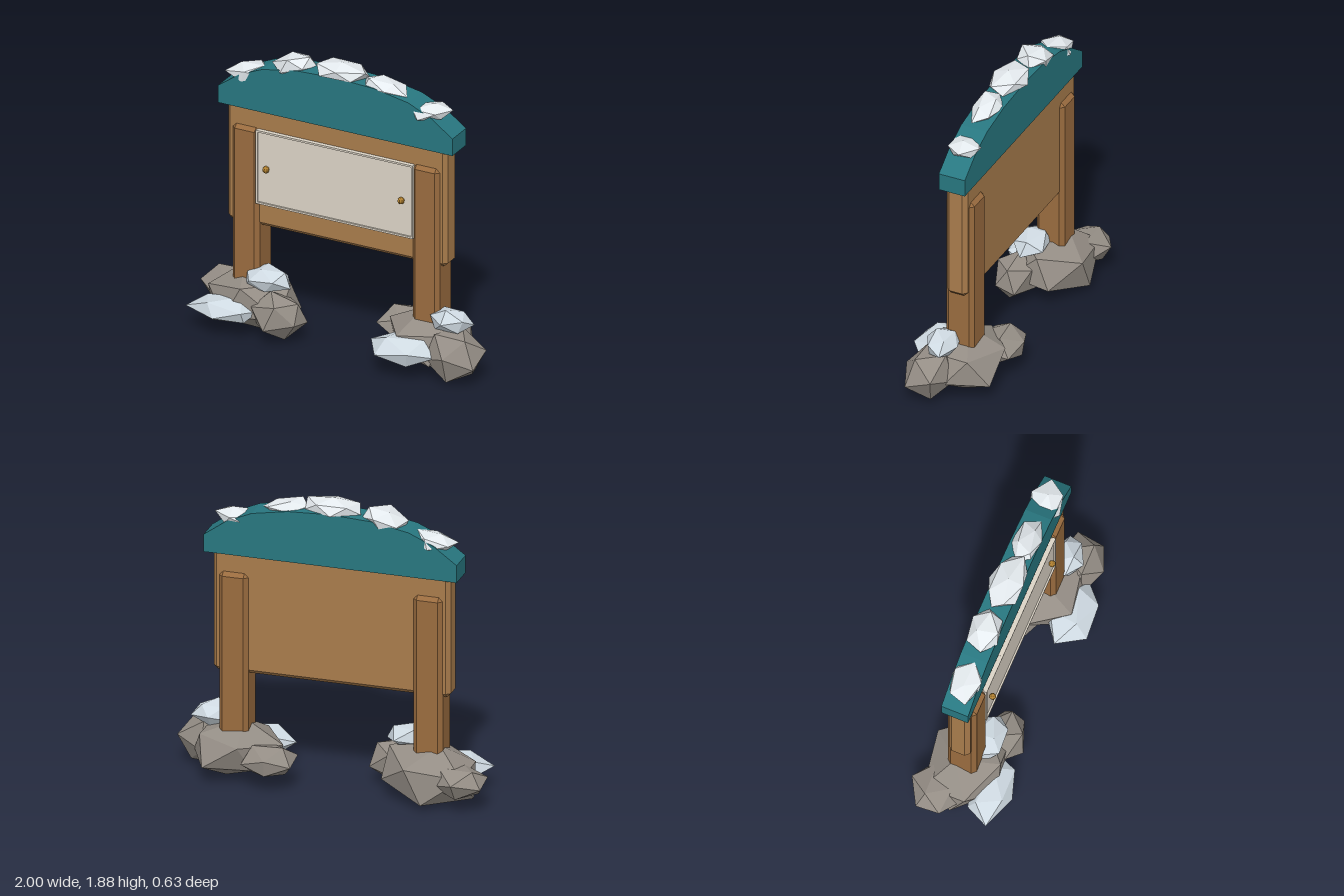
import * as THREE from 'three';
import { ConvexGeometry } from 'three/addons/geometries/ConvexGeometry.js';

const mat = (color) => new THREE.MeshStandardMaterial({ color, flatShading: true });
const M = {
  board: mat(0xa97c4c), post: mat(0x9a6c3f), roof: mat(0x287780), sign: mat(0xdcd4c6),
  knob: mat(0xb08030), stone: mat(0x948d85), pale: mat(0xcfdae2), snow: mat(0xe4eaee),
};

function rng(seed) {
  let s = seed * 7919 + 17;
  return () => ((s = (s * 16807) % 2147483647) / 2147483647);
}

function add(parent, name, geometry, material) {
  const mesh = new THREE.Mesh(geometry, material);
  mesh.name = name;
  parent.add(mesh);
  return mesh;
}

// Box with every edge chamfered by b, given by its min and max corners
function chamferBox([x0, y0, z0], [x1, y1, z1], b) {
  const pts = [];
  for (const x of [0, 1]) for (const y of [0, 1]) for (const z of [0, 1]) {
    const p = [x ? x1 : x0, y ? y1 : y0, z ? z1 : z0];
    const inward = [x ? -b : b, y ? -b : b, z ? -b : b];
    for (let keep = 0; keep < 3; keep++) {
      pts.push(new THREE.Vector3(...p.map((v, i) => (i === keep ? v : v + inward[i]))));
    }
  }
  return new ConvexGeometry(pts);
}

// Jittered icosahedron hull, sheared upwards along x, then fitted to a box
function rock(min, max, seed, shear = 0) {
  const rand = rng(seed);
  rand();
  const t = (1 + Math.sqrt(5)) / 2;
  const turn = new THREE.Euler(rand() * 6, rand() * 6, rand() * 6);
  const pts = [];
  for (const a of [-1, 1]) for (const b of [-t, t]) {
    for (const c of [[0, a, b], [a, b, 0], [b, 0, a]]) {
      const p = new THREE.Vector3(...c).applyEuler(turn).multiplyScalar(0.88 + rand() * 0.24);
      p.y += shear * p.x;
      pts.push(p);
    }
  }
  const box = new THREE.Box3().setFromPoints(pts);
  const size = box.getSize(new THREE.Vector3());
  const lo = new THREE.Vector3(...min);
  const span = new THREE.Vector3(...max).sub(lo);
  pts.forEach((p) => p.sub(box.min).divide(size).multiply(span).add(lo));
  return new ConvexGeometry(pts);
}

export function createModel() {
  const model = new THREE.Group();
  model.name = 'noticeBoard';

  // Backing board and the two posts
  add(model, 'backBoard', chamferBox([-0.77, 0.695, -0.112], [0.738, 1.5, 0.028], 0.026), M.board);
  for (const [name, x] of [['rightPost', -0.633], ['leftPost', 0.603]]) {
    add(model, name, chamferBox([x - 0.093, 0.12, -0.137], [x + 0.093, 1.35, 0.052], 0.026), M.post);
  }

  // Notice panel with a slightly raised rim
  const panel = new THREE.Group();
  panel.name = 'noticePanel';
  model.add(panel);
  add(panel, 'sheet', chamferBox([-0.555, 0.855, 0], [0.522, 1.345, 0.045], 0.006), M.sign);
  const rim = new THREE.Shape();
  const rect = (path, x0, y0, x1, y1) =>
    path.moveTo(x0, y0).lineTo(x1, y0).lineTo(x1, y1).lineTo(x0, y1).closePath();
  rect(rim, -0.555, 0.855, 0.522, 1.345);
  const opening = new THREE.Path();
  rect(opening, -0.543, 0.867, 0.51, 1.333);
  rim.holes.push(opening);
  const rimGeometry = new THREE.ExtrudeGeometry(rim, { depth: 0.02, bevelEnabled: false });
  add(panel, 'rim', rimGeometry.translate(0, 0, 0.036), M.sign);
  for (const x of [-0.48, 0.447]) {
    add(panel, 'knob', new THREE.SphereGeometry(0.022, 8, 6), M.knob).position.set(x, 1.1, 0.064);
  }

  // Arched roof, mirrored about its own middle
  const half = [[0.805, 1.467], [0.805, 1.58], [0.66, 1.685], [0.5, 1.755], [0.27, 1.797]];
  const outline = [...half, [0, 1.81], ...half.map(([x, y]) => [-x, y]).reverse()];
  const roofShape = new THREE.Shape(outline.map(([x, y]) => new THREE.Vector2(x - 0.015, y)));
  const roofGeometry = new THREE.ExtrudeGeometry(roofShape, { depth: 0.175, bevelEnabled: false });
  add(model, 'roof', roofGeometry.translate(0, 0, -0.13), M.roof);

  // Snow lumps along the roof
  const lumps = [
    [[-0.79, 1.635, -0.14], [-0.51, 1.745, 0.055], 3, 0.3],
    [[-0.48, 1.72, -0.145], [-0.2, 1.86, 0.055], 5, 0.4],
    [[-0.19, 1.775, -0.155], [0.17, 1.885, 0.065], 8, 0],
    [[0.15, 1.735, -0.125], [0.45, 1.845, 0.05], 11, -0.3],
    [[0.46, 1.63, -0.145], [0.74, 1.75, 0.065], 4, 0.3],
  ];
  for (const [min, max, seed, shear] of lumps) add(model, 'roofSnow', rock(min, max, seed, shear), M.snow);

  // Stones heaped round each post
  const heaps = {
    rightStones: [
      ['mainStone', [-0.9, 0, -0.275], [-0.34, 0.375, 0.19], 2, M.stone],
      ['backStone', [-1, 0.08, -0.315], [-0.68, 0.27, 0.03], 6, M.stone],
      ['frontStone', [-0.56, 0.02, -0.02], [-0.21, 0.31, 0.235], 9, M.stone],
      ['paleStone', [-0.95, 0.085, 0.02], [-0.5, 0.245, 0.295], 7, M.pale],
      ['smallStone', [-0.62, 0.285, -0.07], [-0.32, 0.435, 0.14], 10, M.pale],
    ],
    leftStones: [
      ['mainStone', [0.3, 0, -0.28], [0.88, 0.375, 0.19], 12, M.stone],
      ['backStone', [0.2, 0.08, -0.315], [0.52, 0.27, 0], 13, M.stone],
      ['sideStone', [0.66, 0.02, -0.07], [1, 0.31, 0.245], 14, M.stone],
      ['paleStone', [0.285, 0.085, 0.03], [0.74, 0.25, 0.312], 15, M.pale],
      ['smallStone', [0.64, 0.285, -0.075], [0.91, 0.44, 0.14], 16, M.pale],
    ],
  };
  for (const [name, stones] of Object.entries(heaps)) {
    const heap = new THREE.Group();
    heap.name = name;
    model.add(heap);
    for (const [part, min, max, seed, material] of stones) add(heap, part, rock(min, max, seed), material);
  }
  return model;
}
